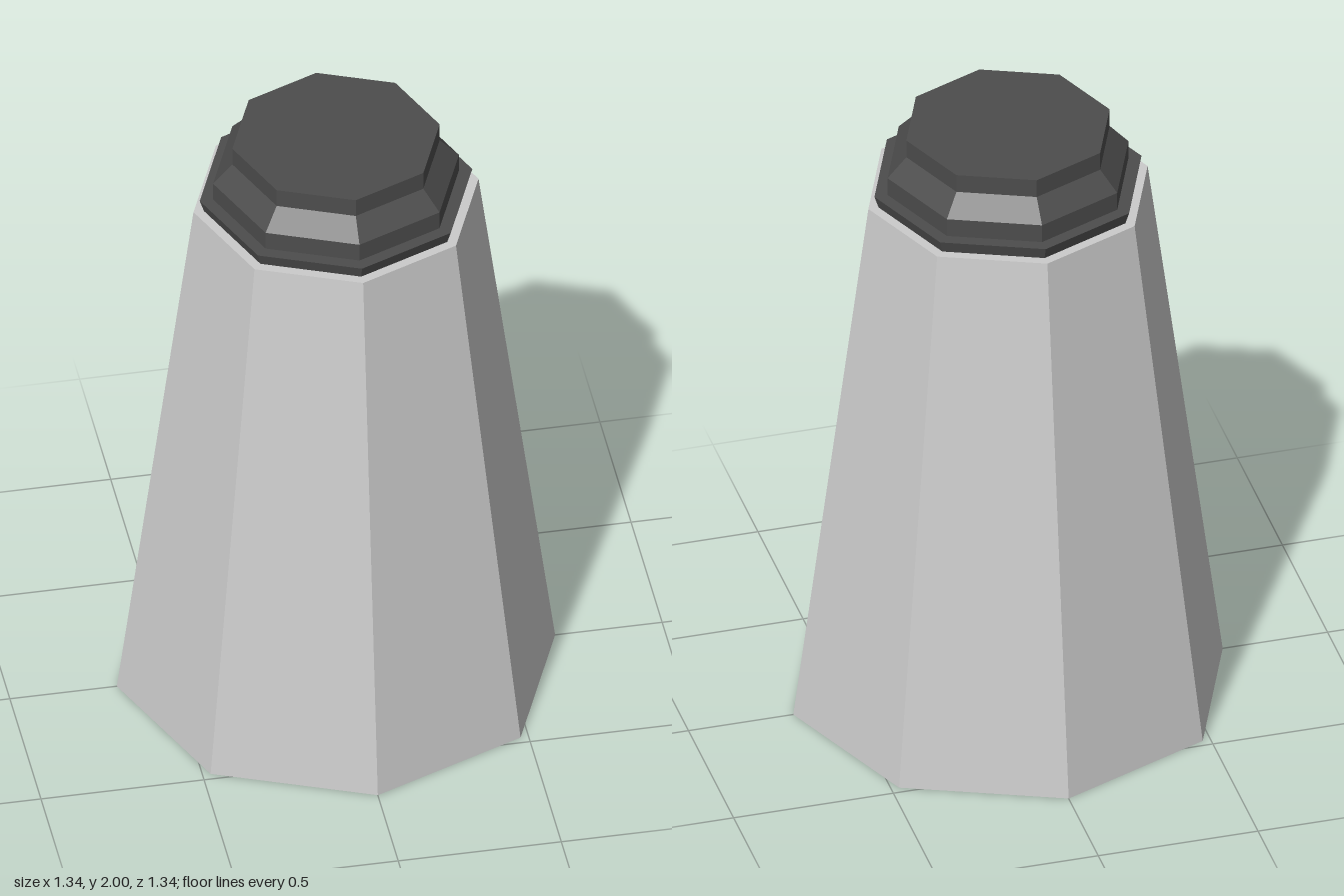
import * as THREE from 'three';

const SIDES = 8;

export function createModel() {
  const group = new THREE.Group();
  const add = (name, geometry, color) => {
    const material = new THREE.MeshStandardMaterial({ color, flatShading: true });
    const mesh = new THREE.Mesh(geometry, material);
    mesh.name = name;
    group.add(mesh);
  };

  // Tapered octagonal body, corners on the x and z axes
  const body = new THREE.CylinderGeometry(0.437, 0.672, 1.775, SIDES);
  body.translate(0, 1.775 / 2, 0);
  add('body', body, 0xcccccc);

  // Dark cap: flared flange, shoulder, bevel and neck, closed at both ends
  const profile = [
    [0, 1.775], [0.405, 1.775], [0.418, 1.815], [0.377, 1.815],
    [0.377, 1.875], [0.318, 1.94], [0.318, 2], [0, 2],
  ].map(([r, y]) => new THREE.Vector2(r, y));
  add('cap', new THREE.LatheGeometry(profile, SIDES), 0x4d4d4d);

  return group;
}
